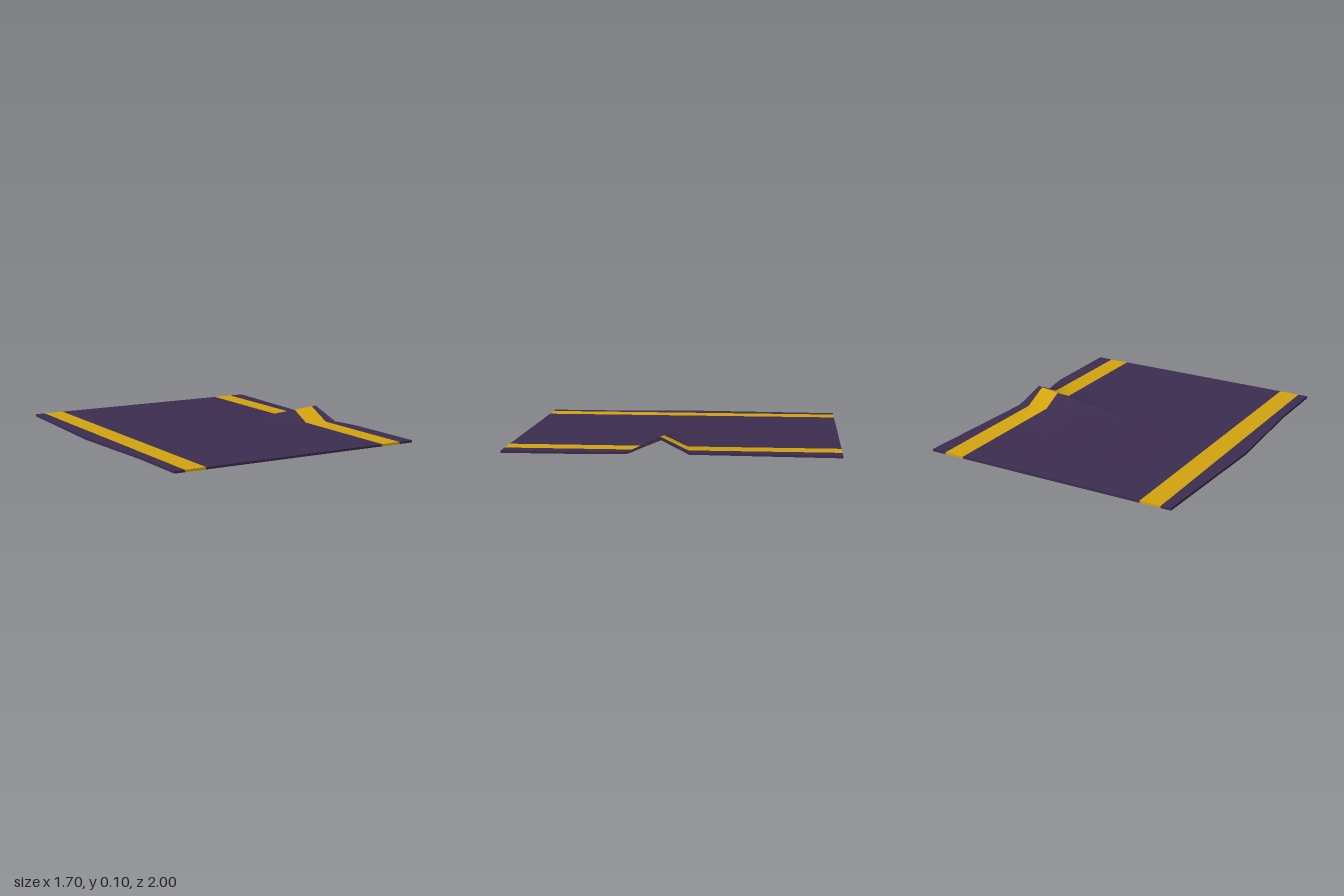
import * as THREE from 'three';
import { toCreasedNormals } from 'three/addons/utils/BufferGeometryUtils.js';

const THICK = 0.014, TIP_X = -0.03, RIDGE_ROW = 2, RIDGE_H = 0.083;

// Cross rows of the mat: [x, z] on each long edge, and z where the fold dies out
const LEFT = [[-0.815, -1], [-0.853, -0.08], [-0.846, 0.03], [-0.84, 0.14], [-0.815, 0.57], [-0.815, 1]];
const RIGHT = [[0.85, -1], [0.815, -0.11], [0.78, 0.07], [0.813, 0.25], [0.845, 0.43], [0.85, 1]];
const TIP_Z = [-1, 0, 0, 0, 0.2, 1];
const ROWS = LEFT.length;

// Underside point of a row at a given x ('left' and 'right' mean the outer edges)
function pointAt(column, row) {
  const x = column === 'left' ? LEFT[row][0] : column === 'right' ? RIGHT[row][0] : column;
  const [endX, endZ] = x < TIP_X ? LEFT[row] : RIGHT[row];
  const t = (x - TIP_X) / (endX - TIP_X);
  const z = TIP_Z[row] + (endZ - TIP_Z[row]) * t;
  const y = row === RIDGE_ROW && x > TIP_X ? RIDGE_H * t : 0;
  return new THREE.Vector3(x, y, z);
}

// Closed strip of cloth running front to back through the given columns
function strip(name, columns, material) {
  const pos = [];
  const tri = (a, b, c) => {
    const n = b.clone().sub(a).cross(c.clone().sub(a));
    if (n.length() > 1e-9) pos.push(...a.toArray(), ...b.toArray(), ...c.toArray());
  };
  const quad = (a, b, c, d) => { tri(a, b, c); tri(a, c, d); };
  const low = (i, j) => pointAt(columns[i], j);
  const top = (i, j) => low(i, j).add(new THREE.Vector3(0, THICK, 0));
  const last = columns.length - 1, end = ROWS - 1;

  for (let i = 0; i < last; i++) {
    for (let j = 0; j < end; j++) {
      quad(top(i, j), top(i, j + 1), top(i + 1, j + 1), top(i + 1, j));
      quad(low(i, j), low(i + 1, j), low(i + 1, j + 1), low(i, j + 1));
    }
    // front and back hems
    quad(low(i, end), low(i + 1, end), top(i + 1, end), top(i, end));
    quad(low(i + 1, 0), low(i, 0), top(i, 0), top(i + 1, 0));
  }
  // long outer hems
  for (let j = 0; j < end; j++) {
    if (columns[0] === 'left') quad(low(0, j), low(0, j + 1), top(0, j + 1), top(0, j));
    if (columns[last] === 'right') quad(low(last, j + 1), low(last, j), top(last, j), top(last, j + 1));
  }

  const geometry = new THREE.BufferGeometry();
  geometry.setAttribute('position', new THREE.Float32BufferAttribute(pos, 3));
  const mesh = new THREE.Mesh(toCreasedNormals(geometry, 0.6), material);
  mesh.name = name;
  return mesh;
}

export function createModel() {
  const purple = new THREE.MeshStandardMaterial({ color: 0x3d2d50 });
  purple.name = 'dark purple cloth';
  const gold = new THREE.MeshStandardMaterial({ color: 0xd4a510 });
  gold.name = 'gold stripe';

  const rug = new THREE.Group();
  rug.name = 'rug';
  rug.add(
    strip('leftBorder', ['left', -0.75], purple),
    strip('leftStripe', [-0.75, -0.615], gold),
    strip('field', [-0.615, TIP_X, 0.617], purple),
    strip('rightStripe', [0.617, 0.75], gold),
    strip('rightBorder', [0.75, 'right'], purple),
  );
  return rug;
}
